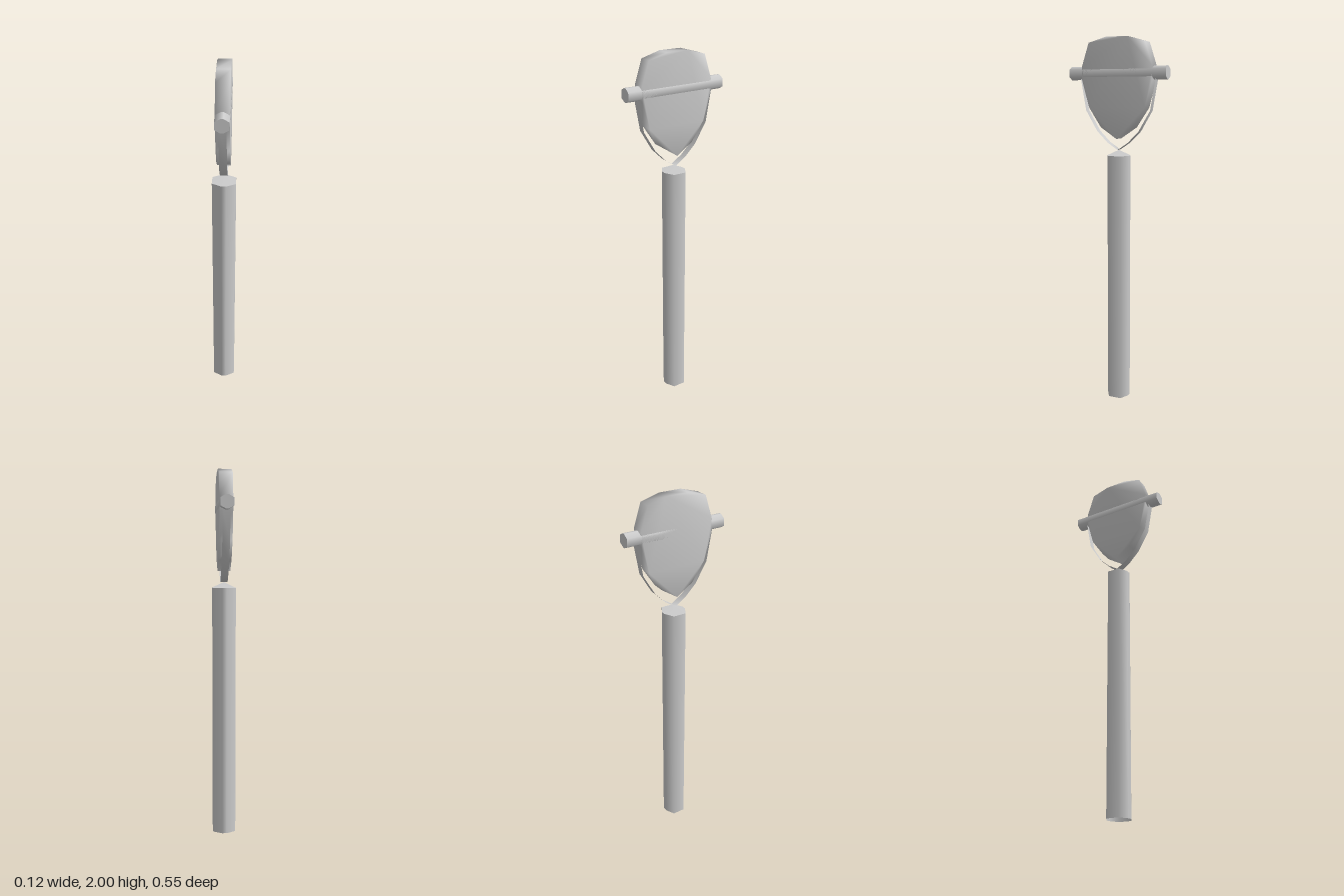
import * as THREE from 'three';
import { mergeVertices } from 'three/addons/utils/BufferGeometryUtils.js';

const material = new THREE.MeshStandardMaterial({ color: 0xcccccc, side: THREE.DoubleSide });

function mesh(name, geometry) {
  const m = new THREE.Mesh(geometry, material);
  m.name = name;
  return m;
}

// Eight-sided lathe whose corners are moved onto a flattened octagon of half-width size
function octagonal(points, size) {
  const geo = new THREE.LatheGeometry(points.map(([r, y]) => new THREE.Vector2(r, y)), 8, Math.PI / 8);
  const pos = geo.attributes.position;
  for (let i = 0; i < pos.count; i++) {
    const x = pos.getX(i), z = pos.getZ(i), r = Math.hypot(x, z) * size;
    const wide = Math.abs(x) > Math.abs(z);
    pos.setX(i, Math.sign(x) * r * (wide ? 1 : 0.2));
    pos.setZ(i, Math.sign(z) * r * (wide ? 0.56 : 1));
  }
  return geo;
}

// Full left-to-right outline from one half listed from the centre outward
const mirrored = (half) => [
  ...half.filter(([z]) => z > 0).reverse().map(([z, y]) => [-z, y]),
  ...half,
];

export function createModel() {
  const group = new THREE.Group();

  // Pole: open at the foot, shallow pointed top
  const pole = new THREE.Group();
  pole.name = 'pole';
  pole.add(
    mesh('poleShaft', octagonal([[1, 0], [1, 1.38]], 0.0625)),
    mesh('poleTip', octagonal([[1, 1.38], [0, 1.41]], 0.0625)),
  );
  group.add(pole);

  // Axle through the head, along z
  const axle = new THREE.Group();
  axle.name = 'axle';
  axle.add(
    mesh('axleBar', octagonal([[1, -0.275], [1, 0.275]], 0.035)),
    mesh('axleEndBack', octagonal([[0, -0.275], [1, -0.275]], 0.035)),
    mesh('axleEndFront', octagonal([[1, 0.275], [0, 0.275]], 0.035)),
  );
  axle.rotation.x = Math.PI / 2;
  axle.position.y = 1.815;
  group.add(axle);

  // Head: shield-shaped plate with soft shading over its edges
  const outline = mirrored([
    [0, 1.47], [0.09, 1.53], [0.16, 1.635], [0.2, 1.78], [0.2, 1.85], [0.16, 1.972], [0.06, 2],
  ]);
  const shape = new THREE.Shape(outline.map(([z, y]) => new THREE.Vector2(z, y)));
  let plate = new THREE.ExtrudeGeometry(shape, { depth: 0.07, bevelEnabled: false });
  plate.translate(0, 0, -0.035);
  plate.rotateY(-Math.PI / 2);
  plate.deleteAttribute('normal');
  plate.deleteAttribute('uv');
  plate = mergeVertices(plate);
  plate.computeVertexNormals();
  group.add(mesh('head', plate));

  // Fork: thin strap from one axle end, under the head, to the other
  const path = mirrored([[0, 1.41], [0.06, 1.45], [0.12, 1.51], [0.185, 1.62], [0.215, 1.79]]);
  const strap = new THREE.PlaneGeometry(0.04, 1, 1, path.length - 1);
  const pos = strap.attributes.position;
  for (let i = 0; i < pos.count; i++) {
    const [z, y] = path[Math.floor(i / 2)];
    pos.setY(i, y);
    pos.setZ(i, z);
  }
  strap.computeVertexNormals();
  group.add(mesh('fork', strap));

  return group;
}
